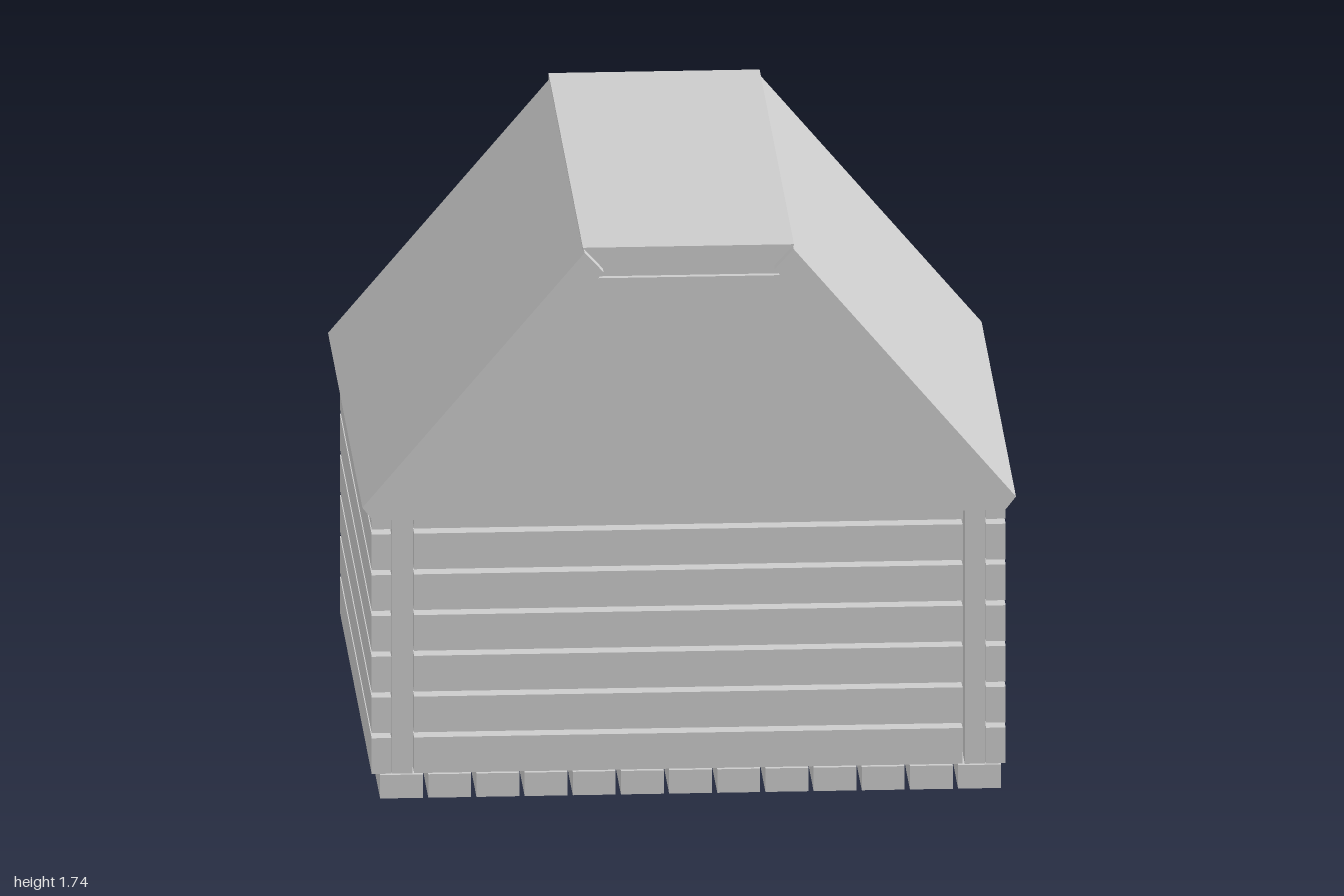
import * as THREE from 'three';

const material = new THREE.MeshStandardMaterial({ color: 0xcccccc, flatShading: true });

// Box given by its lower and upper corners
function board(parent, name, [x0, y0, z0], [x1, y1, z1]) {
  const mesh = new THREE.Mesh(new THREE.BoxGeometry(x1 - x0, y1 - y0, z1 - z0), material);
  mesh.position.set((x0 + x1) / 2, (y0 + y1) / 2, (z0 + z1) / 2);
  mesh.name = name;
  parent.add(mesh);
}

// Outline in x and y, extruded between two depths
function prism(parent, name, points, z0, z1) {
  const shape = new THREE.Shape(points.map(([x, y]) => new THREE.Vector2(x, y)));
  const geometry = new THREE.ExtrudeGeometry(shape, { depth: z1 - z0, bevelEnabled: false });
  geometry.translate(0, 0, z0);
  const mesh = new THREE.Mesh(geometry, material);
  mesh.name = name;
  parent.add(mesh);
}

// Splits a length into equal planks separated by gaps
function planks(start, end, count, gap, place) {
  const pitch = (end - start + gap) / count;
  for (let i = 0; i < count; i++) place(start + i * pitch, start + (i + 1) * pitch - gap);
}

function group(parent, name) {
  const g = new THREE.Group();
  g.name = name;
  parent.add(g);
  return g;
}

export function createModel() {
  const model = new THREE.Group();
  model.name = 'woodenShelter';

  const FLOOR = 0.075, EAVES = 0.888, BACK = -0.78, FRONT = 0.897;
  const ROWS = 7, ROW_PITCH = 0.1303, ROW_HEIGHT = 0.114;

  // Floor planks running front to back
  const floor = group(model, 'floor');
  planks(-0.945, 0.955, 13, 0.016, (a, b) => board(floor, 'floorPlank', [a, 0, BACK], [b, FLOOR, 0.91]));

  // Side walls: horizontal cladding outside, vertical planks inside
  for (const side of [-1, 1]) {
    const wall = group(model, side > 0 ? 'leftWall' : 'rightWall');
    const span = (inner, outer) => (side > 0 ? [inner, outer] : [-outer, -inner]);
    const [c0, c1] = span(0.91, 0.97);
    for (let i = 0; i < ROWS; i++) {
      const y = FLOOR + i * ROW_PITCH;
      board(wall, 'sideCladding', [c0, y, BACK], [c1, Math.min(y + ROW_HEIGHT, EAVES), FRONT]);
    }
    const [v0, v1] = span(0.845, 0.908);
    planks(BACK, FRONT, 14, 0.017, (a, b) => board(wall, 'sideUpright', [v0, FLOOR, a], [v1, EAVES, b]));
  }

  // Front wall, built the same way between the side walls
  const front = group(model, 'frontWall');
  for (let i = 0; i < ROWS; i++) {
    const y = FLOOR + i * ROW_PITCH;
    board(front, 'frontCladding', [-0.84, y, 0.835], [0.838, Math.min(y + ROW_HEIGHT, EAVES), 0.895]);
  }
  planks(-0.843, 0.838, 14, 0.017, (a, b) => board(front, 'frontUpright', [a, FLOOR, 0.772], [b, EAVES, 0.833]));

  // Gable panel closing the front above the wall
  prism(model, 'gable', [[-0.925, EAVES], [0.925, EAVES], [0.285, 1.65], [-0.285, 1.65]], 0.84, 0.905);

  // Roof: two sloping slabs and a flat ridge board set slightly back
  const roof = group(model, 'roof');
  for (const side of [-1, 1]) {
    const outline = [[1, 0.935], [0.32, 1.738], [0.262, 1.675], [0.945, 0.865]];
    prism(roof, 'roofSlope', outline.map(([x, y]) => [side * x, y]), -0.89, 0.924);
  }
  board(roof, 'ridgeBoard', [-0.323, 1.646, -0.928], [0.323, 1.742, 0.885]);

  return model;
}
